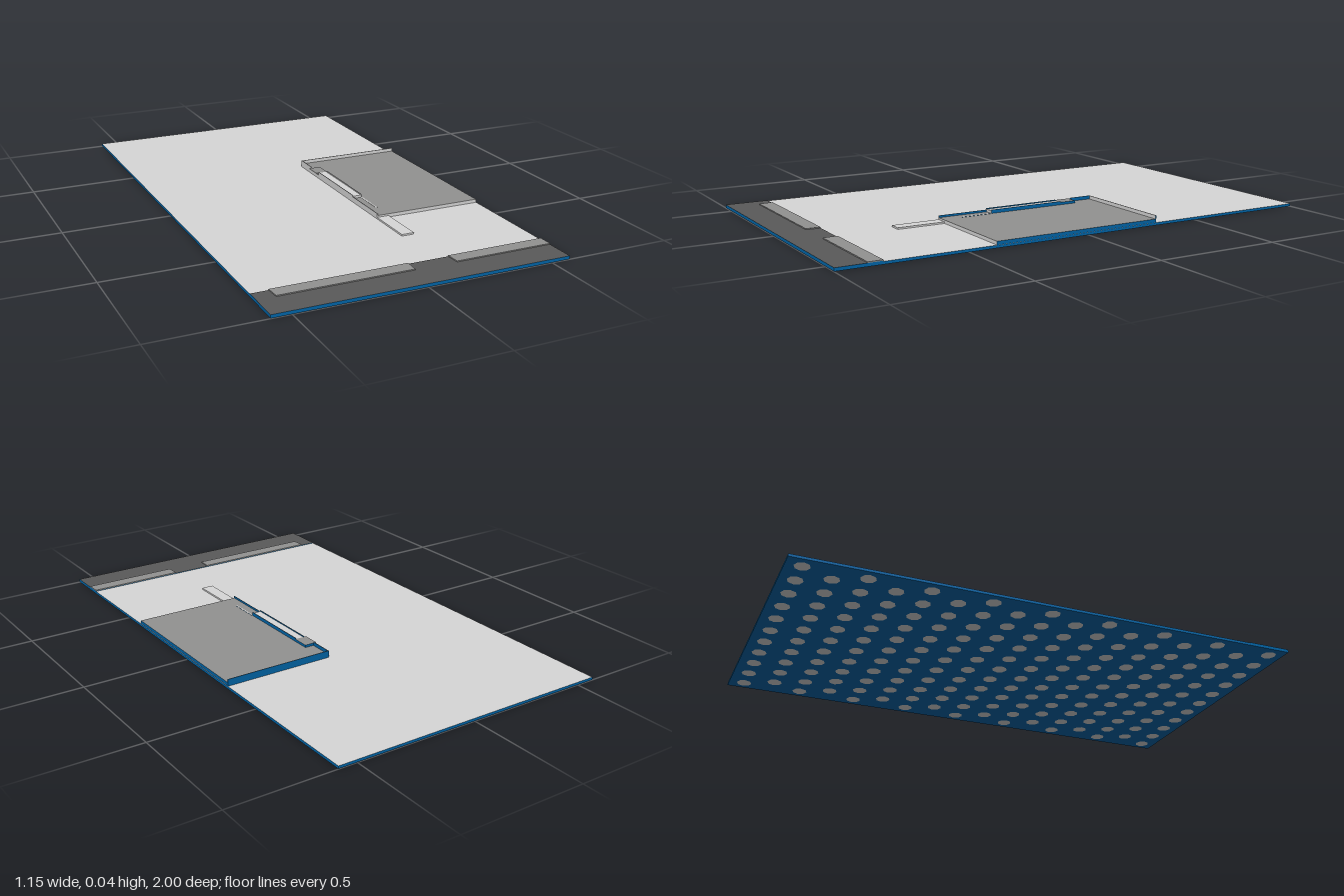
import * as THREE from 'three';
import { mergeGeometries } from 'three/addons/utils/BufferGeometryUtils.js';

const mat = (name, color) => {
  const m = new THREE.MeshStandardMaterial({ color });
  m.name = name;
  return m;
};

export function createModel() {
  const light = mat('light grey', 0xd7d7d7);
  const grey = mat('mid grey', 0x929291);
  const dark = mat('dark grey', 0x5a5a5a);
  const blue = mat('blue', 0x0066a9);
  const group = new THREE.Group();

  // Box given by its limits; materials are ordered +x, -x, +y, -y, +z, -z
  const block = (name, [x0, x1], [y0, y1], [z0, z1], materials) => {
    const g = new THREE.BoxGeometry(x1 - x0, y1 - y0, z1 - z0);
    g.translate((x0 + x1) / 2, (y0 + y1) / 2, (z0 + z1) / 2);
    const mesh = new THREE.Mesh(g, materials);
    mesh.name = name;
    group.add(mesh);
  };
  const topped = (top) => [blue, blue, top, blue, blue, blue];
  const walled = (top) => [blue, light, top, blue, light, blue];

  // Ground plate and road strip, just above the underside spots
  const under = 0.001, base = 0.0115, road = 0.0135;
  block('ground', [-0.575, 0.575], [under, base], [-1, 0.825], topped(light));
  block('road', [-0.575, 0.575], [under, road], [0.825, 1], topped(dark));

  // Staggered pale spots on the underside
  const spots = [];
  for (let row = 0; row < 17; row++) {
    const odd = row % 2;
    for (let col = 0; col < 11 - odd; col++) {
      const spot = new THREE.CircleGeometry(0.03, 8);
      spot.rotateX(Math.PI / 2);
      spot.translate(-0.525 + (col + odd / 2) * 0.105, 0, -0.94 + row * 0.1175);
      spots.push(spot);
    }
  }
  const underside = new THREE.Mesh(mergeGeometries(spots), light);
  underside.name = 'undersideSpots';
  group.add(underside);

  // Pavement kerbs with slightly tapered ends
  for (const [x0, x1, taperRight] of [[-0.508, 0.018, 0.003], [0.18, 0.575, 0]]) {
    const g = new THREE.BoxGeometry(x1 - x0, 0.004, 0.057);
    const p = g.attributes.position;
    for (let i = 0; i < p.count; i++) {
      if (p.getZ(i) < 0) continue;
      p.setX(i, p.getX(i) + (p.getX(i) < 0 ? 0.003 : -taperRight));
    }
    g.computeVertexNormals();
    g.translate((x0 + x1) / 2, road + 0.002, 0.8535);
    const kerb = new THREE.Mesh(g, [grey, grey, grey, blue, grey, grey]);
    kerb.name = 'pavementKerb';
    group.add(kerb);
  }

  // Low terrace, cut back around the side slot
  const roof = 0.025, rim = 0.039;
  block('terrace', [0.168, 0.573], [base, roof], [-0.31, 0.39], walled(grey));
  block('terraceBackEdge', [0.128, 0.168], [base, roof], [-0.31, -0.14], walled(grey));
  block('terraceFrontEdge', [0.128, 0.168], [base, roof], [0.18, 0.39], walled(grey));

  // Thin upstand walls on the back and side
  block('backWall', [0.128, 0.573], [roof, rim], [-0.31, -0.307], walled(grey));
  block('sideWall', [0.128, 0.131], [roof, rim], [-0.307, -0.21], walled(grey));
  block('frontSideWall', [0.128, 0.131], [roof, 0.033], [0.18, 0.39], walled(grey));

  // Raised landing in the slot, with its thin rims and end plate
  block('landing', [0.131, 0.165], [base, 0.035], [-0.14, 0.18], walled(light));
  for (const [x0, x1] of [[0.128, 0.131], [0.165, 0.168]]) {
    block('landingRim', [x0, x1], [base, rim], [-0.14, 0.18], walled(grey));
  }
  block('landingEnd', [0.131, 0.168], [roof, 0.035], [-0.21, -0.14], walled(grey));
  block('landingPlate', [0.118, 0.131], [0.033, 0.035], [-0.21, -0.14], walled(grey));
  block('landingStrip', [0.165, 0.171], [roof, 0.026], [0.18, 0.31], walled(light));

  // Shallow ramp leading to the terrace
  block('ramp', [0.128, 0.178], [base, 0.018], [0.39, 0.585], [light, light, light, blue, light, blue]);

  return group;
}
